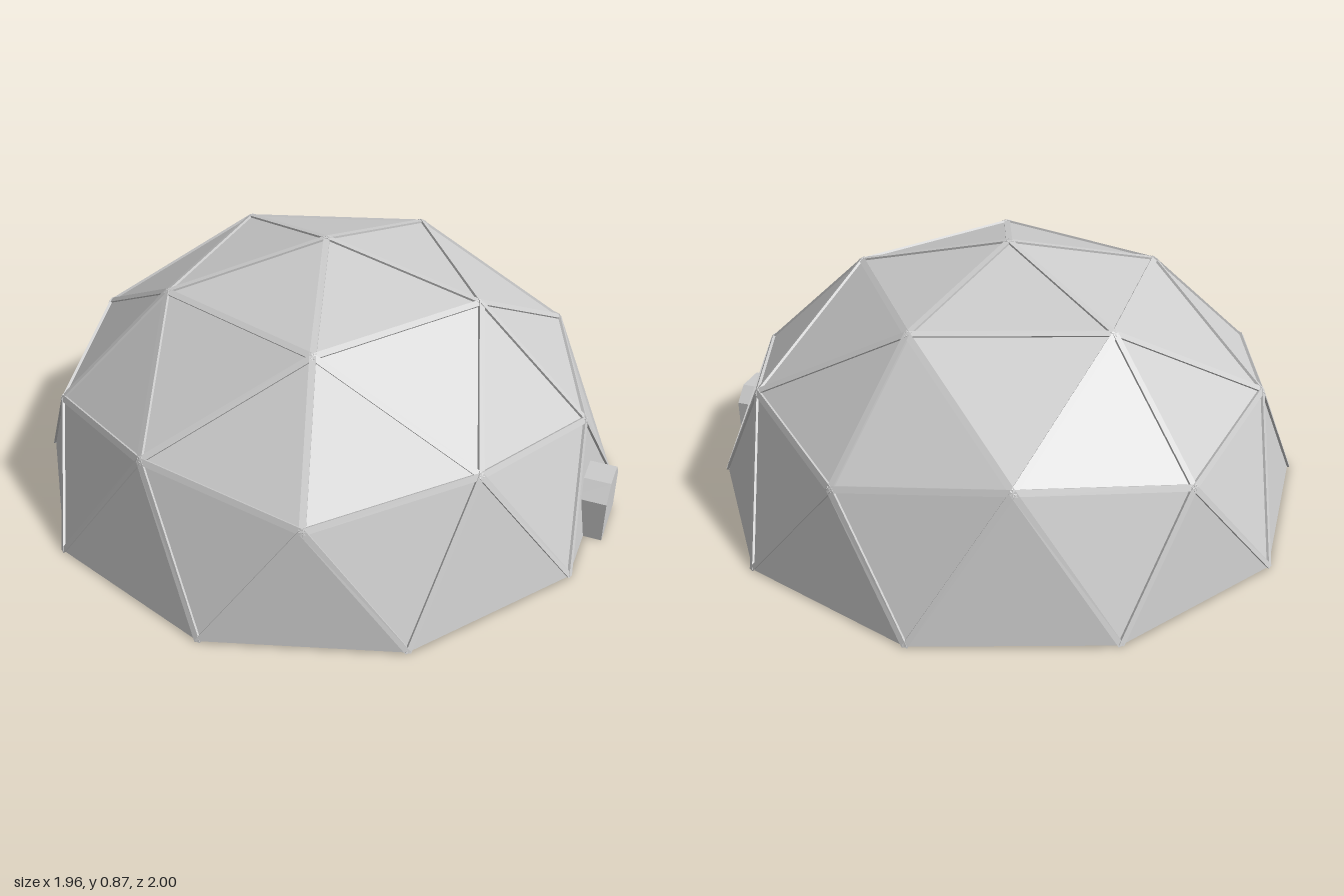
import * as THREE from 'three';
import { mergeGeometries } from 'three/addons/utils/BufferGeometryUtils.js';

const CENTRE_X = -0.03;   // the dome shifts left to make room for the door
const HEIGHT = 0.865;     // apex height; the hemisphere is slightly squashed
const STRUT_WIDTH = 0.02;
const STRUT_DEPTH = 0.024;
const PANEL_INSET = 0.994;

// Point on the dome from ring radius, relative height and angle in degrees
function ringPoint(radius, height, degrees) {
  const a = THREE.MathUtils.degToRad(degrees);
  return new THREE.Vector3(radius * Math.cos(a), height * HEIGHT, radius * Math.sin(a));
}

// Two-frequency icosahedral dome: 40 triangles in five equal sectors
function domeTriangles() {
  const apex = ringPoint(0, 1, 0);
  const upper = (k) => ringPoint(0.526, 0.851, 72 * k);
  const hub = (k) => ringPoint(0.894, 0.447, 72 * k);
  const middle = (k) => ringPoint(0.851, 0.526, 72 * k + 36);
  const foot = (j) => ringPoint(1, 0, 36 * j + 18);
  const triangles = [];
  for (let k = 0; k < 5; k++) {
    const n = k + 1;
    triangles.push(
      [apex, upper(k), upper(n)],
      [upper(k), middle(k), upper(n)],
      [upper(k), hub(k), middle(k)],
      [upper(n), middle(k), hub(n)],
      [hub(k), foot(2 * k - 1), foot(2 * k)],
      [hub(k), foot(2 * k), middle(k)],
      [middle(k), foot(2 * k), foot(2 * k + 1)],
      [middle(k), foot(2 * k + 1), hub(n)],
    );
  }
  return triangles;
}

// Flat panels, each wound to face outward
function panelGeometry(triangles) {
  const points = [];
  for (const [a, b, c] of triangles) {
    const normal = b.clone().sub(a).cross(c.clone().sub(a));
    const outward = normal.dot(a.clone().add(b).add(c)) > 0;
    for (const p of outward ? [a, b, c] : [a, c, b]) {
      points.push(p.clone().multiplyScalar(PANEL_INSET));
    }
  }
  const geometry = new THREE.BufferGeometry().setFromPoints(points);
  geometry.computeVertexNormals();
  return geometry;
}

// Bar between two hubs, its outer face on the dome, cut off at the ground
function strutGeometry(a, b) {
  const along = b.clone().sub(a);
  const length = along.length();
  along.normalize();
  const middle = a.clone().add(b).multiplyScalar(0.5);
  const out = middle.clone().addScaledVector(along, -middle.dot(along)).normalize();
  const side = along.clone().cross(out);
  const geometry = new THREE.BoxGeometry(length, STRUT_DEPTH, STRUT_WIDTH);
  geometry.translate(0, -STRUT_DEPTH / 2, 0);
  geometry.applyMatrix4(new THREE.Matrix4().makeBasis(along, out, side).setPosition(middle));
  const pos = geometry.attributes.position;
  for (let i = 0; i < pos.count; i++) pos.setY(i, Math.max(0, pos.getY(i)));
  geometry.computeVertexNormals();
  return geometry;
}

// One strut for every distinct edge above the ground
function frameGeometry(triangles) {
  const key = (p) => p.toArray().map((v) => Math.round(v * 1000) + 0).join();
  const seen = new Set();
  const struts = [];
  for (const t of triangles) {
    for (let i = 0; i < 3; i++) {
      const a = t[i], b = t[(i + 1) % 3];
      const id = [key(a), key(b)].sort().join('|');
      if (seen.has(id) || a.y + b.y < 0.01) continue;
      seen.add(id);
      struts.push(strutGeometry(a, b));
    }
  }
  return mergeGeometries(struts);
}

export function createModel() {
  const model = new THREE.Group();
  model.name = 'geodesicDome';
  const material = new THREE.MeshStandardMaterial({ color: 0xcccccc, flatShading: true });
  const add = (name, geometry, parent) => {
    const mesh = new THREE.Mesh(geometry, material);
    mesh.name = name;
    parent.add(mesh);
    return mesh;
  };

  // Dome shell, struts and ten-sided floor
  const dome = new THREE.Group();
  dome.name = 'dome';
  dome.position.x = CENTRE_X;
  model.add(dome);
  const triangles = domeTriangles();
  add('panels', panelGeometry(triangles), dome);
  add('struts', frameGeometry(triangles), dome);
  const floor = new THREE.CircleGeometry(1, 10, Math.PI / 10);
  floor.rotateX(Math.PI / 2);
  add('floor', floor, dome);

  // Entrance porch with clipped upper corners, on the left side
  const outline = new THREE.Shape([
    [-0.1, 0], [0.1, 0], [0.1, 0.145], [0.05, 0.195], [-0.05, 0.195], [-0.1, 0.145],
  ].map(([x, y]) => new THREE.Vector2(x, y)));
  const porch = new THREE.ExtrudeGeometry(outline, { depth: 0.125, bevelEnabled: false });
  porch.rotateY(Math.PI / 2);
  add('entrance', porch, model).position.x = 0.85;

  return model;
}
